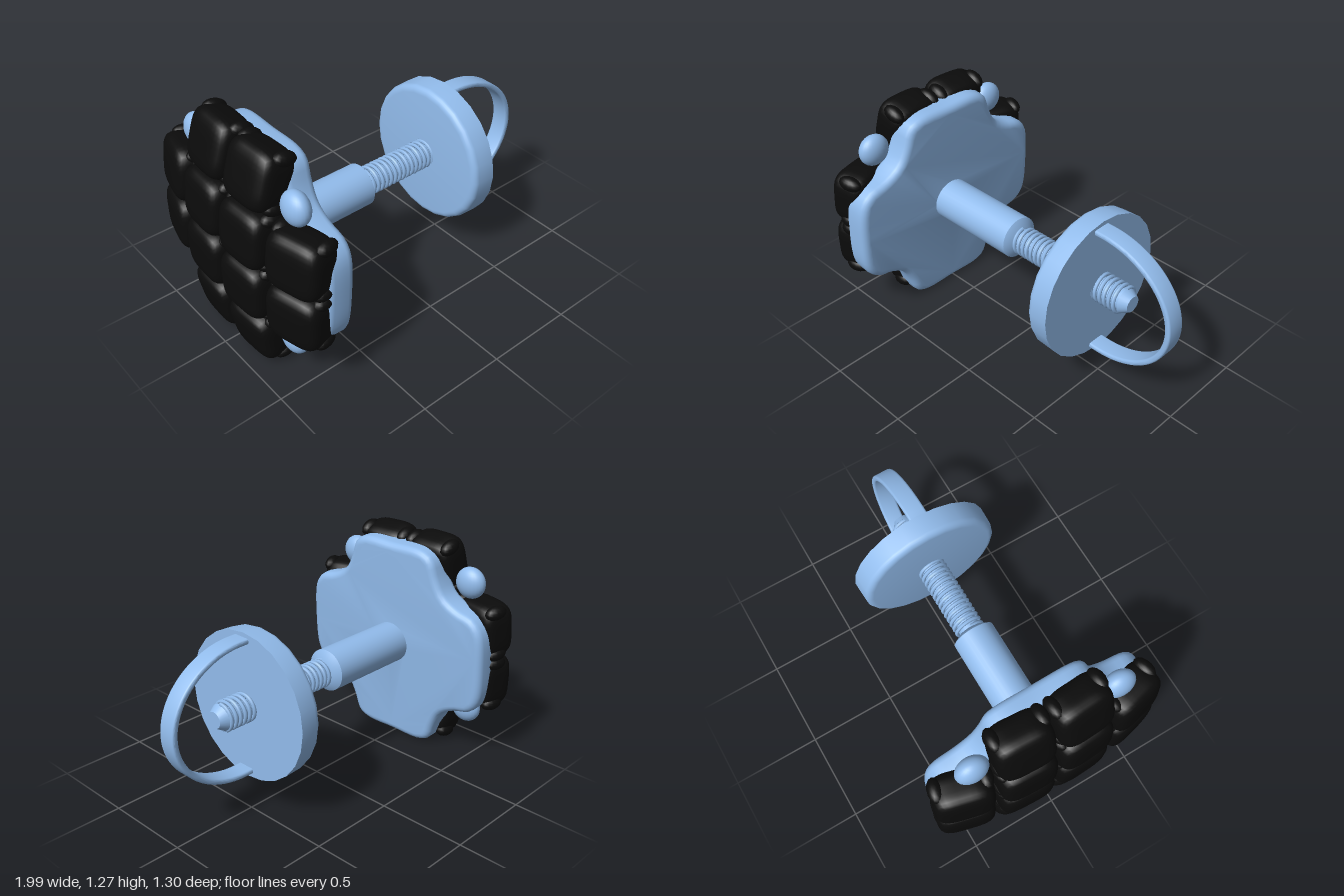
import * as THREE from 'three';
import { mergeVertices, toCreasedNormals } from 'three/addons/utils/BufferGeometryUtils.js';

const blue = new THREE.MeshStandardMaterial({ color: 0x92bcec });
const black = new THREE.MeshStandardMaterial({ color: 0x0b0b0b });
const AXIS_Y = 0.6, AXIS_Z = 0.016;

function add(parent, name, geometry, material, x = 0, y = 0, z = 0) {
  const mesh = new THREE.Mesh(geometry, material);
  mesh.name = name;
  mesh.position.set(x, y, z);
  parent.add(mesh);
  return mesh;
}

// Turned part along the x axis; profile is [x, radius] from left to right
function turned(profile, sides) {
  const points = profile.map(([x, r]) => new THREE.Vector2(r, x));
  return toCreasedNormals(new THREE.LatheGeometry(points, sides).rotateZ(-Math.PI / 2), 0.6);
}

// Pillow with squarish outline
function cushion(thickness, width) {
  let g = new THREE.BoxGeometry(2, 2, 2, 10, 10, 10);
  g.deleteAttribute('uv');
  g.deleteAttribute('normal');
  g = mergeVertices(g);
  const p = g.attributes.position, n = 4;
  for (let i = 0; i < p.count; i++) {
    const v = new THREE.Vector3().fromBufferAttribute(p, i);
    const s = (Math.abs(v.x) ** n + Math.abs(v.y) ** n + Math.abs(v.z) ** n) ** (-1 / n);
    p.setXYZ(i, v.x * s * thickness / 2, v.y * s * width / 2, v.z * s * width / 2);
  }
  g.computeVertexNormals();
  return g;
}

// Rounded cross plate with a flared hole for the post
function plateGeometry() {
  const half = [[0.2, 0.6], [0.27, 0.565], [0.31, 0.46], [0.36, 0.37], [0.45, 0.315],
    [0.55, 0.285], [0.607, 0.22], [0.628, 0]];
  const upper = half.slice(0, -1).map(([u, v]) => [u, -v]).reverse();
  const right = [...half, ...upper];
  const left = right.map(([u, v]) => [-u, v]).reverse();
  const loop = [[0, 0.602], ...right, [0, -0.602], ...left];
  const curve = new THREE.CatmullRomCurve3(loop.map(([u, v]) => new THREE.Vector3(u, v, 0)), true);
  const outline = curve.getSpacedPoints(110).slice(0, -1).map(p => new THREE.Vector2(p.x, p.y));
  const shape = new THREE.Shape(outline);
  shape.holes.push(new THREE.Path().absarc(0, 0, 0.145, 0, Math.PI * 2, true));
  const g = new THREE.ExtrudeGeometry(shape, {
    depth: 0.08, bevelThickness: 0.04, bevelSize: 0.04, bevelOffset: -0.04,
    bevelSegments: 5, curveSegments: 32,
  });
  return toCreasedNormals(g.translate(0, 0, -0.12).rotateY(Math.PI / 2), 0.7);
}

function createHead() {
  const head = new THREE.Group();
  head.name = 'head';
  head.position.set(-0.637, AXIS_Y, 0);
  head.rotation.z = -0.057;
  add(head, 'crossPlate', plateGeometry(), blue, 0, 0, AXIS_Z);
  add(head, 'holeFloor', turned([[-0.15, 0], [-0.15, 0.23], [-0.1, 0.23], [-0.1, 0]], 32), blue, 0, 0, AXIS_Z);

  // Twelve stones in a cross, the outer ones leaning back
  const stoneGeometry = cushion(0.21, 0.315);
  const prongGeometry = new THREE.SphereGeometry(0.04, 14, 10).scale(1.7, 1, 1);
  for (const row of [-1.5, -0.5, 0.5, 1.5]) {
    for (const col of [-1.5, -0.5, 0.5, 1.5]) {
      const outerRow = Math.abs(row) > 1, outerCol = Math.abs(col) > 1;
      if (outerRow && outerCol) continue;
      const stone = new THREE.Group();
      stone.name = 'stoneSetting';
      stone.position.set(outerRow || outerCol ? -0.2 : -0.25, row * 0.308 + 0.028, col * 0.325);
      stone.rotation.set(0, Math.sign(col) * (outerCol ? 0.25 : 0.05), -Math.sign(row) * (outerRow ? 0.25 : 0.05));
      add(stone, 'stone', stoneGeometry, black);
      for (const a of [-1, 1]) {
        for (const b of [-1, 1]) add(stone, 'prong', prongGeometry, black, 0.02, a * 0.125, b * 0.125);
      }
      head.add(stone);
    }
  }

  // Beads in the four inner corners
  const bead = new THREE.SphereGeometry(0.09, 24, 18).scale(0.68, 1, 1);
  for (const a of [-1, 1]) {
    for (const b of [-1, 1]) add(head, 'cornerBead', bead, blue, -0.172, 0.035 + a * 0.39, b * 0.413);
  }
  return head;
}

// Helical ridge around the x axis
class Helix extends THREE.Curve {
  constructor(start, end, radius, turns) {
    super();
    Object.assign(this, { start, end, radius, turns });
  }
  getPoint(t, target = new THREE.Vector3()) {
    const a = t * this.turns * Math.PI * 2;
    return target.set(THREE.MathUtils.lerp(this.start, this.end, t), Math.cos(a) * this.radius, Math.sin(a) * this.radius);
  }
}

function createPost() {
  const post = new THREE.Group();
  post.name = 'post';
  post.position.set(0, AXIS_Y, AXIS_Z);
  add(post, 'sleeve', turned([[-0.75, 0], [-0.75, 0.119], [-0.09, 0.119], [-0.063, 0.075], [-0.063, 0]], 32), blue);
  add(post, 'threadCore', turned([[-0.08, 0], [-0.08, 0.062], [0.66, 0.062], [0.665, 0.072], [0.71, 0.045], [0.71, 0]], 24), blue);
  add(post, 'thread', new THREE.TubeGeometry(new Helix(-0.06, 0.665, 0.073, 24), 24 * 24, 0.011, 6), blue);
  return post;
}

function createBack() {
  const back = new THREE.Group();
  back.name = 'screwBack';
  // Disc with one rounded rim
  const profile = [[0.365, 0]];
  for (let i = 0; i <= 6; i++) {
    const a = i / 6 * Math.PI / 2;
    profile.push([0.4 - 0.035 * Math.cos(a), 0.365 + 0.04 * Math.sin(a)]);
  }
  profile.push([0.5, 0.409], [0.5, 0]);
  add(back, 'disc', turned(profile, 24), blue, 0, 0.597, 0.018);

  // Flat band bent into an arch
  const arch = new THREE.Shape();
  arch.moveTo(0.48, -0.384);
  arch.lineTo(0.54, -0.384);
  arch.absellipse(0.54, 0, 0.452, 0.384, -Math.PI / 2, Math.PI / 2, false);
  arch.lineTo(0.48, 0.384);
  arch.lineTo(0.48, 0.354);
  arch.lineTo(0.54, 0.354);
  arch.absellipse(0.54, 0, 0.418, 0.354, Math.PI / 2, -Math.PI / 2, true);
  arch.lineTo(0.48, -0.354);
  const band = new THREE.ExtrudeGeometry(arch, {
    depth: 0.08, bevelThickness: 0.012, bevelSize: 0.01, bevelOffset: -0.01, bevelSegments: 3, curveSegments: 40,
  });
  add(back, 'loop', toCreasedNormals(band.translate(0, 0, -0.04), 0.7), blue, 0, 0.597, 0.032);
  return back;
}

export function createModel() {
  const model = new THREE.Group();
  model.name = 'earring';
  model.add(createHead(), createPost(), createBack());
  return model;
}
